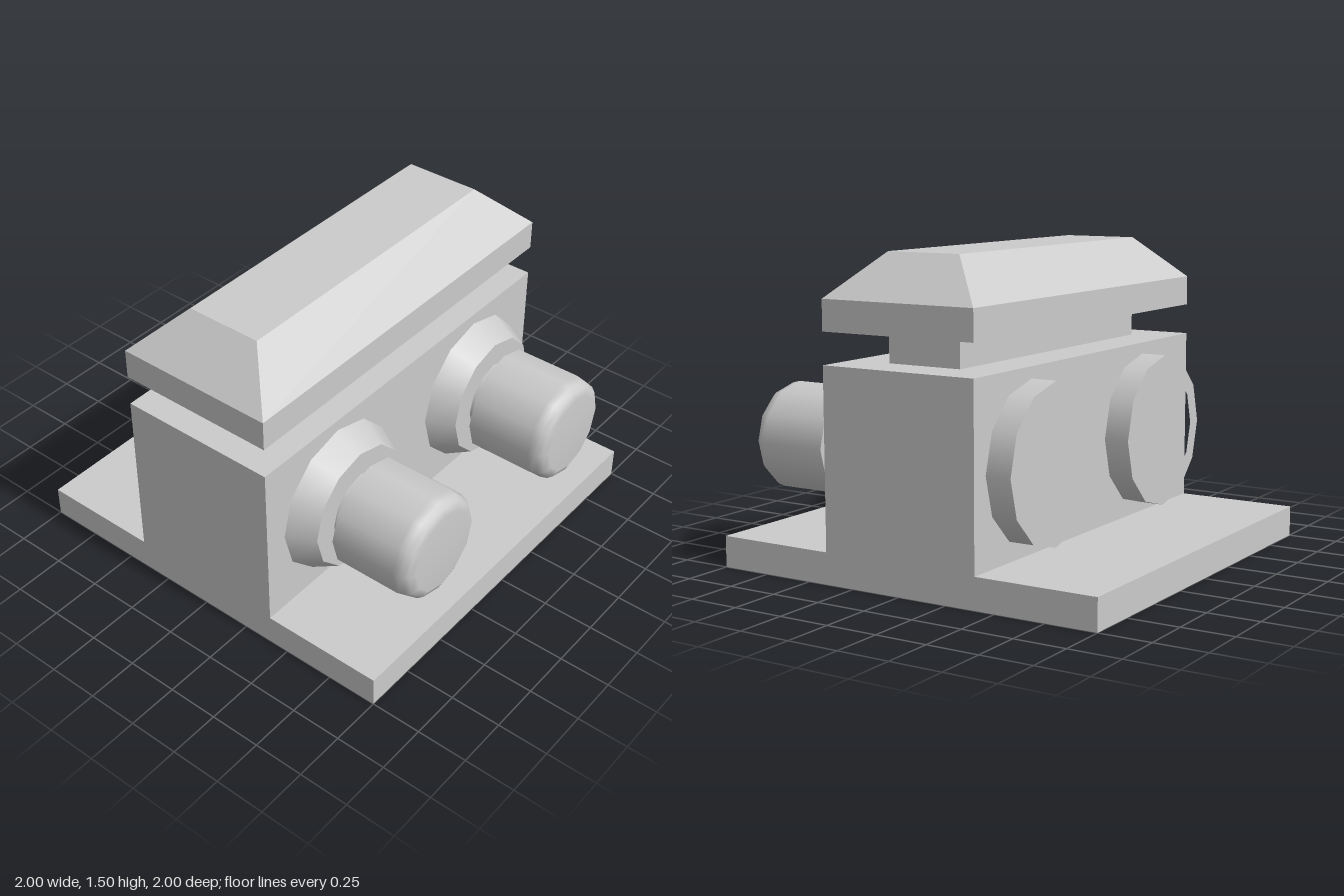
import * as THREE from 'three';

const material = new THREE.MeshStandardMaterial({ color: 0xcccccc });

// Box standing on height y, with an optional smaller top face
function block(name, width, height, depth, y, topWidth = width, topDepth = depth) {
  const geo = new THREE.BoxGeometry(width, height, depth);
  const pos = geo.attributes.position;
  for (let i = 0; i < pos.count; i++) {
    if (pos.getY(i) > 0) {
      pos.setX(i, Math.sign(pos.getX(i)) * topWidth / 2);
      pos.setZ(i, Math.sign(pos.getZ(i)) * topDepth / 2);
    }
  }
  geo.computeVertexNormals();
  const mesh = new THREE.Mesh(geo, material);
  mesh.name = name;
  mesh.position.y = y + height / 2;
  return mesh;
}

// Twelve-sided turned part along z; each profile is smooth, joins between profiles stay sharp.
// Profile points are [radius, z].
function turned(name, profiles) {
  const group = new THREE.Group();
  group.name = name;
  for (const profile of profiles) {
    const geo = new THREE.LatheGeometry(profile.map(([r, z]) => new THREE.Vector2(r, z)), 12);
    geo.rotateX(Math.PI / 2);
    const mesh = new THREE.Mesh(geo, material);
    mesh.name = name + 'Surface';
    group.add(mesh);
  }
  return group;
}

function createConnector(name) {
  const group = new THREE.Group();
  group.name = name;
  group.add(
    turned('flange', [
      [[0.375, 0.4], [0.305, 0.53]],
      [[0.305, 0.53], [0.18, 0.53]],
    ]),
    turned('stem', [[[0.185, 0.53], [0.185, 0.585]]]),
    turned('knob', [
      [[0, 0.585], [0.265, 0.585]],
      [[0.265, 0.585], [0.265, 0.92], [0.255, 0.96], [0.235, 0.985], [0.2, 1], [0, 1]],
    ]),
    // Open socket ring on the back, tapering inward to the body face
    turned('socketRing', [
      [[0.24, -0.4], [0.295, -0.525]].reverse(),
      [[0.295, -0.525], [0.375, -0.525]],
      [[0.375, -0.525], [0.375, -0.4]],
    ]),
  );
  return group;
}

export function createModel() {
  const model = new THREE.Group();
  model.name = 'connectorBlock';

  model.add(
    block('basePlate', 2, 0.15, 2, 0),
    block('body', 2, 0.85, 0.8, 0.15),
    block('neck', 1.58, 0.15, 0.38, 1),
    block('capSlab', 2, 0.145, 0.8, 1.15),
    block('capBevel', 2, 0.205, 0.8, 1.295, 1.58, 0.38),
  );

  // Two connectors side by side
  for (const [name, x] of [['rightConnector', -0.51], ['leftConnector', 0.535]]) {
    const connector = createConnector(name);
    connector.position.set(x, 0.57, 0);
    model.add(connector);
  }
  return model;
}
